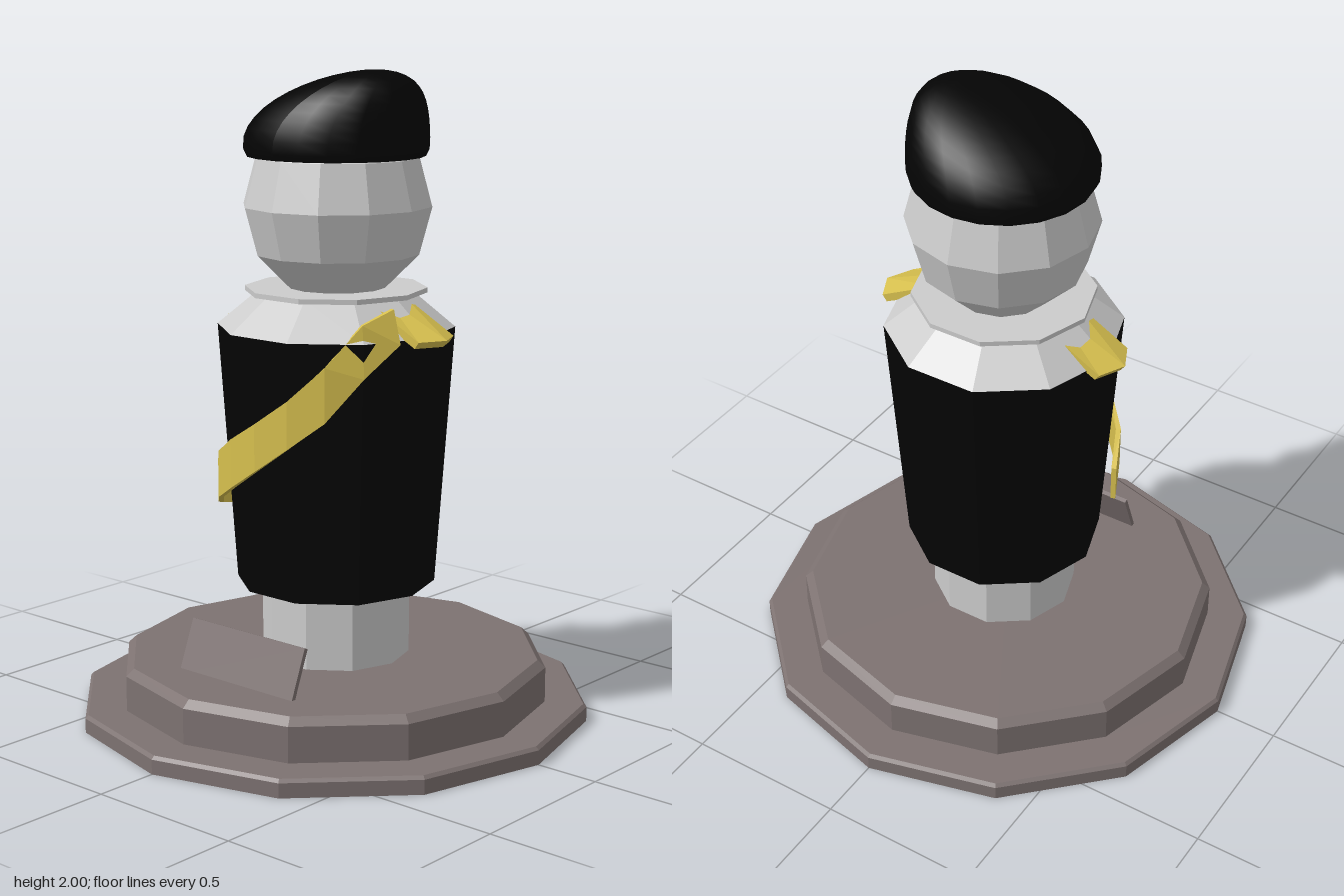
import * as THREE from 'three';

const mat = (color, opts = {}) => new THREE.MeshStandardMaterial({ color, flatShading: true, ...opts });
const DEG = Math.PI / 180;
const CX = 0.01; // the figure stands slightly off the base centre

export function createModel() {
  const model = new THREE.Group();
  const grey = mat(0xcccccc), black = mat(0x040404), gold = mat(0xd6bf4e), brown = mat(0x7d7271);

  const add = (name, geometry, material) => {
    const mesh = new THREE.Mesh(geometry, material);
    mesh.name = name;
    model.add(mesh);
    return mesh;
  };
  // faceted solid of revolution
  const turned = (name, points, sides, phase, material, x = 0) => {
    const profile = points.map(([r, y]) => new THREE.Vector2(r, y));
    const mesh = add(name, new THREE.LatheGeometry(profile, sides, phase), material);
    mesh.position.x = x;
    return mesh;
  };

  // stepped twelve-sided base, hollow underneath
  turned('base', [
    [0, 0.174], [0.645, 0.174], [0.66, 0.16], [0.66, 0], [0.8, 0], [0.8, 0.045], [0.79, 0.055],
    [0.67, 0.055], [0.67, 0.165], [0.645, 0.188], [0, 0.188],
  ], 12, 0, brown);

  // ten-sided figure, corners on the x axis
  const P = Math.PI / 10;
  turned('stand', [[0, 0.17], [0.23, 0.17], [0.23, 0.43], [0, 0.43]], 10, P, grey, CX);
  turned('tunic', [[0, 0.42], [0.308, 0.42], [0.365, 1.222], [0, 1.222]], 10, P, black, CX);
  turned('shoulders', [[0, 1.22], [0.365, 1.222], [0.235, 1.33], [0, 1.33]], 10, P, grey, CX);
  turned('collar', [[0, 1.326], [0.28, 1.326], [0.28, 1.341], [0, 1.341]], 10, P, grey, CX);

  const head = add('head', new THREE.SphereGeometry(0.291, 12, 6), grey);
  head.position.set(0.015, 1.59, 0);

  // beret: a dome whose crown is swept towards +x
  const cap = [[0, 1.74], [0.272, 1.74], [0.282, 1.76]];
  for (let i = 1; i <= 12; i++) {
    const a = i * 7.5 * DEG;
    cap.push([i === 12 ? 0 : 0.284 * Math.cos(a), 1.765 + 0.235 * Math.sin(a)]);
  }
  const beret = turned('beret', cap, 20, 0, mat(0x040404, { flatShading: false }), CX);
  const pos = beret.geometry.attributes.position;
  for (let i = 0; i < pos.count; i++) {
    const t = Math.max(0, (pos.getY(i) - 1.765) / 0.235);
    pos.setX(i, pos.getX(i) + 0.155 * t * t);
  }
  beret.geometry.computeVertexNormals();

  // sash: [angle from the front, lower edge y, upper edge y]
  const stations = [
    [-76, 0.62, 0.74], [-54, 0.655, 0.79], [-36, 0.7, 0.845], [-18, 0.755, 0.905], [0, 0.825, 0.97],
    [18, 0.905, 1.05], [36, 0.99, 1.155], [54, 1.12, 1.275], [72, 1.215, 1.315],
  ];
  const ribbon = (deg, y, lift) => {
    const r = 0.352 - Math.max(0, y - 1.222) * 0.4 + lift;
    return [CX + r * Math.sin(deg * DEG), y, r * Math.cos(deg * DEG)];
  };
  const verts = [], index = [];
  stations.forEach(([a, lo, hi], i) => {
    verts.push(...ribbon(a, lo, 0), ...ribbon(a, lo, 0.016), ...ribbon(a, hi, 0.016), ...ribbon(a, hi, 0));
    if (!i) return;
    for (let k = 0; k < 4; k++) {
      const p = (i - 1) * 4 + k, q = (i - 1) * 4 + (k + 1) % 4;
      index.push(p, p + 4, q, q, p + 4, q + 4);
    }
  });
  const e = (stations.length - 1) * 4;
  index.push(0, 1, 2, 0, 2, 3, e, e + 2, e + 1, e, e + 3, e + 2);
  const sashGeo = new THREE.BufferGeometry();
  sashGeo.setAttribute('position', new THREE.Float32BufferAttribute(verts, 3));
  sashGeo.setIndex(index);
  sashGeo.computeVertexNormals();
  add('sash', sashGeo, mat(0xd6bf4e, { side: THREE.DoubleSide }));

  // sloping shoulder boards, outer edge drawn out to a point at the middle
  const board = new THREE.Shape([[0.18, 1.3], [0.372, 1.202], [0.387, 1.222], [0.19, 1.326]]
    .map(([x, y]) => new THREE.Vector2(x, y)));
  const boardGeo = new THREE.ExtrudeGeometry(board, { depth: 0.164, steps: 2, bevelEnabled: false });
  boardGeo.translate(0, 0, -0.082);
  const bp = boardGeo.attributes.position;
  for (let i = 0; i < bp.count; i++) {
    if (bp.getX(i) > 0.3 && Math.abs(bp.getZ(i)) < 0.01) bp.setX(i, bp.getX(i) + 0.04);
  }
  boardGeo.computeVertexNormals();
  for (const side of [1, -1]) {
    const mesh = add(side > 0 ? 'leftShoulderBoard' : 'rightShoulderBoard', boardGeo, gold);
    mesh.position.x = 0.015;
    mesh.rotation.y = side > 0 ? 0 : Math.PI;
  }

  // blank plaque leaning back, its foot let into the base
  const plaque = add('plaque', new THREE.BoxGeometry(0.46, 0.178, 0.014), brown);
  plaque.position.set(0.01, 0.25, 0.428);
  plaque.rotation.x = -0.37;

  return model;
}
